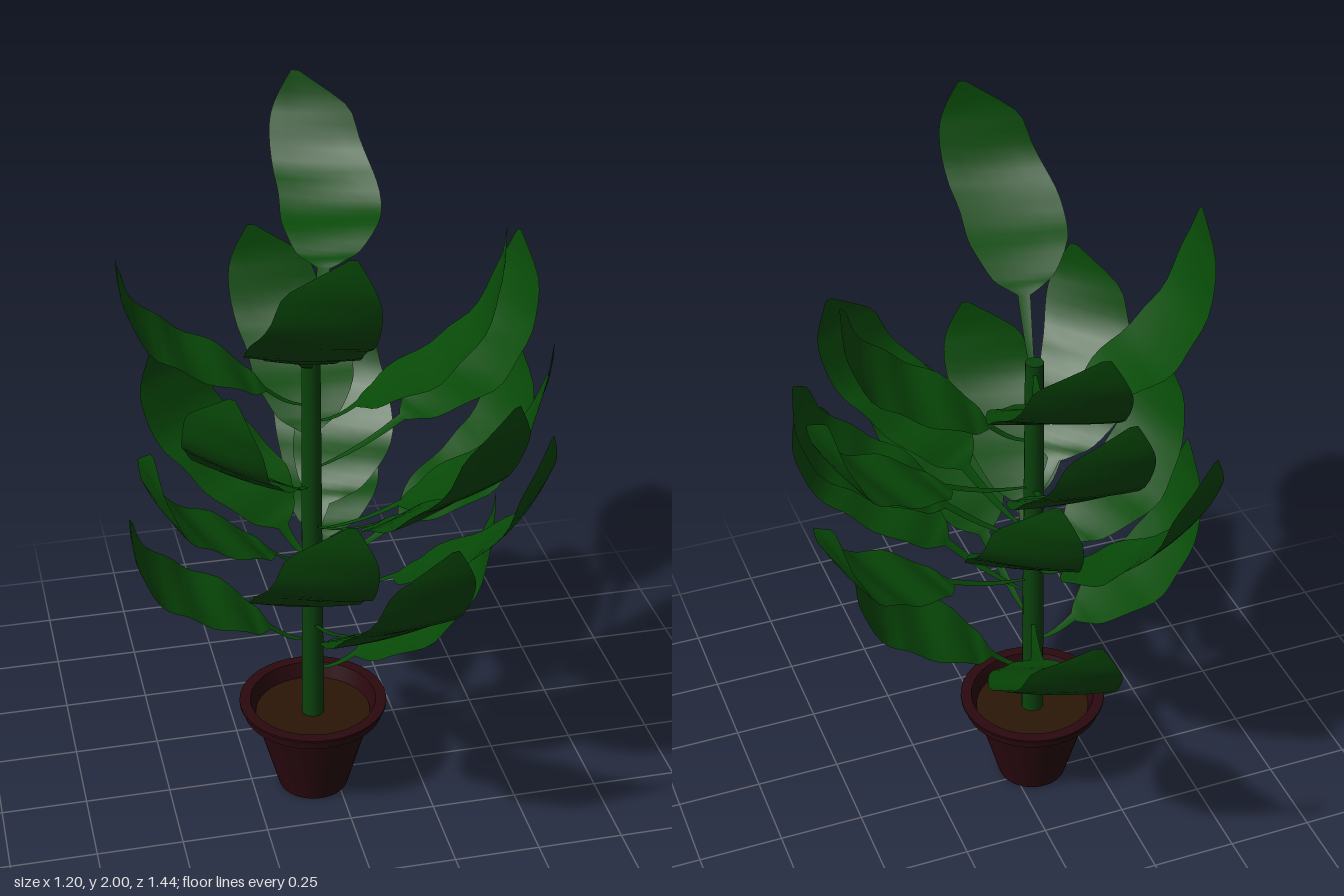
import * as THREE from 'three';
import { toCreasedNormals } from 'three/addons/utils/BufferGeometryUtils.js';

const STEM_X = -0.067, STEM_Z = 0.035;

// Blade stations: distance from blade base, height, sideways bend, half width
const BLADE = [
  [0.00, 0.000, 0.000, 0.018],
  [0.025, 0.015, 0.000, 0.060],
  [0.06, 0.038, 0.000, 0.097],
  [0.14, 0.085, 0.000, 0.138],
  [0.23, 0.135, 0.010, 0.148],
  [0.30, 0.195, 0.038, 0.146],
  [0.36, 0.285, 0.072, 0.132],
  [0.385, 0.375, 0.090, 0.104],
  [0.393, 0.470, 0.135, 0.010],
];
const [BLADE_REACH, BLADE_RISE] = BLADE[BLADE.length - 1];
const STALK_SLOPE = 0.47;

// Leaves: heading in degrees (0 = front, 90 = left side), stalk length, tip height, droop in radians
const LEAVES = [
  [-15, 0.27, 2.00, 0], [161, 0.285, 1.96, 0.13], [74, 0.125, 1.75, 0], [-94, 0.125, 1.80, 0],
  [102, 0.27, 1.61, 0.08], [172, 0.12, 1.59, 0], [-48, 0.125, 1.55, 0], [28, 0.26, 1.48, 0],
  [66, 0.25, 1.46, 0], [150, 0.11, 1.37, 0], [-78, 0.12, 1.30, 0], [-149, 0.12, 1.30, 0],
  [-15, 0.27, 1.28, 0], [102, 0.27, 1.28, 0.08], [50, 0.265, 1.27, 0], [8, 0.30, 1.17, 0],
  [161, 0.28, 1.09, 0.13], [-94, 0.125, 1.03, 0], [74, 0.125, 0.93, 0],
];

// Samples the blade stations smoothly; t runs from 0 to 1
function station(t) {
  const f = t * (BLADE.length - 1);
  const i = Math.min(Math.floor(f), BLADE.length - 2);
  const at = (k) => BLADE[Math.max(0, Math.min(BLADE.length - 1, k))];
  const u = f - i;
  return [0, 1, 2, 3].map((c) => {
    const [a, b, d, e] = [at(i - 1)[c], at(i)[c], at(i + 1)[c], at(i + 2)[c]];
    return b + 0.5 * u * (d - a + u * (2 * a - 5 * b + 4 * d - e + u * (3 * (b - d) + e - a)));
  });
}

// One leaf as a strip: narrow stalk, then the broad bending blade. Points along +z.
function leafGeometry(stalk) {
  const rows = [];
  const rise = stalk * STALK_SLOPE;
  for (let i = 0; i < 5; i++) {
    const t = i / 5;
    rows.push([t * stalk, t * rise - 0.015 * Math.sin(t * Math.PI), 0, 0.004 + 0.014 * t]);
  }
  const steps = 24;
  for (let i = 0; i <= steps; i++) {
    const [d, h, s, w] = station(i / steps);
    rows.push([stalk + d, rise + h, s, Math.max(w, 0.004)]);
  }
  const cols = 7, pos = [], index = [];
  rows.forEach(([d, h, s, w], r) => {
    for (let c = 0; c < cols; c++) {
      const k = 1 - (2 * c) / (cols - 1);
      // a shallow trough, with ripples running across the blade
      const ripple = w * (0.04 * k * k + 0.04 * Math.sin(r * 1.1 + k * 0.8));
      pos.push(s + k * w, h + ripple, d - ripple * 0.5);
    }
  });
  for (let r = 0; r < rows.length - 1; r++) {
    for (let c = 0; c < cols - 1; c++) {
      const a = r * cols + c, b = a + 1, e = a + cols, f = e + 1;
      index.push(a, b, e, b, f, e);
    }
  }
  const g = new THREE.BufferGeometry();
  g.setAttribute('position', new THREE.Float32BufferAttribute(pos, 3));
  g.setIndex(index);
  g.computeVertexNormals();
  return g;
}

export function createModel() {
  const model = new THREE.Group();
  model.name = 'pottedPlant';
  const paint = (color, side = THREE.FrontSide) => new THREE.MeshStandardMaterial({ color, side });
  const add = (name, geometry, material, y = 0) => {
    const mesh = new THREE.Mesh(geometry, material);
    mesh.name = name;
    mesh.position.set(STEM_X, y, STEM_Z);
    model.add(mesh);
    return mesh;
  };

  // Pot with overhanging rim and hollow inside
  const profile = [
    [0, 0], [0.103, 0], [0.175, 0.258], [0.205, 0.258], [0.21, 0.285],
    [0.217, 0.288], [0.217, 0.295], [0.185, 0.295], [0.168, 0.235], [0, 0.235],
  ].map(([x, y]) => new THREE.Vector2(x, y));
  add('pot', toCreasedNormals(new THREE.LatheGeometry(profile, 40), 0.5), paint(0x2a080e));

  // Soil
  add('soil', new THREE.CylinderGeometry(0.17, 0.165, 0.012, 40), paint(0x2a1606), 0.244);

  // Stem
  add('stem', new THREE.CylinderGeometry(0.026, 0.033, 1.24, 16), paint(0x0a420c), 0.86);

  // Leaves, each hung so that its tip meets the given height
  const green = paint(0x084a08, THREE.DoubleSide);
  LEAVES.forEach(([heading, stalk, tip, droop], i) => {
    const rise = (BLADE_RISE + stalk * STALK_SLOPE) * Math.cos(droop) - (BLADE_REACH + stalk) * Math.sin(droop);
    const leaf = add('leaf' + (i + 1), leafGeometry(stalk), green, tip - rise);
    leaf.rotation.set(droop, THREE.MathUtils.degToRad(heading), 0, 'YXZ');
  });

  return model;
}
